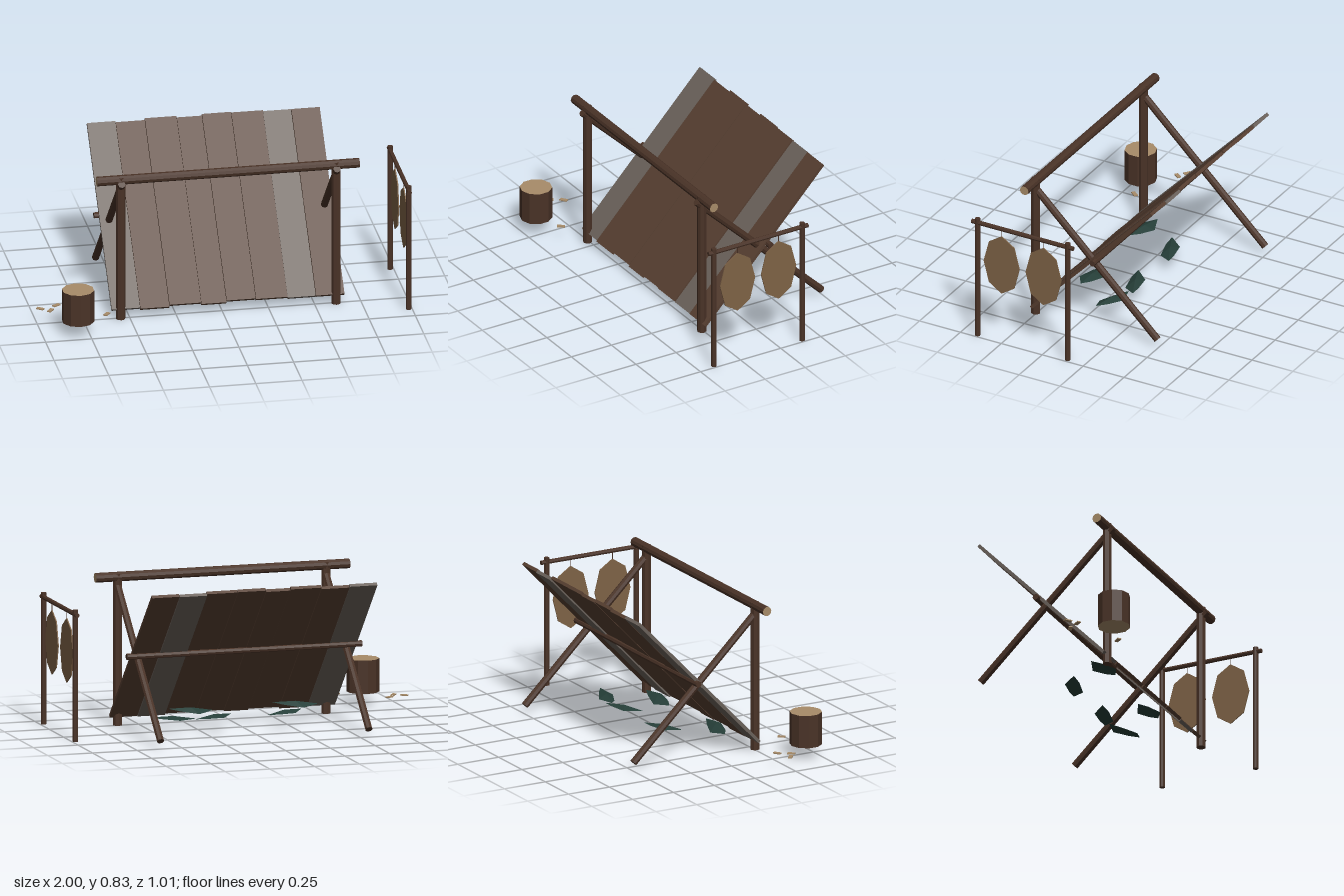
import * as THREE from 'three';

const mat = (name, color, extra = {}) => {
  const m = new THREE.MeshStandardMaterial({ color, flatShading: true, ...extra });
  m.name = name;
  return m;
};

export function createModel() {
  const group = new THREE.Group();
  const bark = mat('bark', 0x4a3327);
  const plankBrown = mat('plank brown', 0x573f31);
  const plankGrey = mat('weathered grey', 0x6b625b);
  const cutWood = mat('cut wood', 0xa88c69);
  const hide = mat('hide', 0x7f6346, { side: THREE.DoubleSide });
  const leafGreen = mat('dark leaf', 0x263f39, { side: THREE.DoubleSide });

  const add = (name, geo, material, x = 0, y = 0, z = 0) => {
    const mesh = new THREE.Mesh(geo, material);
    mesh.name = name;
    mesh.position.set(x, y, z);
    group.add(mesh);
    return mesh;
  };

  // Round timber running from point a to point b
  const log = (name, a, b, r, ends = bark, sides = 8) => {
    const from = new THREE.Vector3(...a), to = new THREE.Vector3(...b);
    const dir = to.clone().sub(from);
    const mesh = add(name, new THREE.CylinderGeometry(r, r, dir.length(), sides), [bark, ends, ends]);
    mesh.position.copy(from).add(to).multiplyScalar(0.5);
    mesh.quaternion.setFromUnitVectors(new THREE.Vector3(0, 1, 0), dir.normalize());
    return mesh;
  };

  // Shelter frame: posts, slanting braces, ridge and back rail
  for (const x of [-0.55, 0.615]) {
    log('post', [x, 0, 0.257], [x, 0.82, 0.257], 0.025);
    log('brace', [x, 0.79, 0.29], [x, 0.04, -0.488], 0.02);
  }
  log('ridgeBeam', [-0.68, 0.803, 0.257], [0.74, 0.803, 0.257], 0.026, cutWood, 10);
  log('backRail', [-0.625, 0.44, -0.13], [0.69, 0.44, -0.13], 0.017);

  // Leaning wall of planks with slightly uneven ends
  const edges = [-0.6, -0.445, -0.287, -0.115, 0.022, 0.18, 0.352, 0.505, 0.66];
  const shift = [0, -0.005, 0.004, -0.003, 0.005, 0.003, -0.004, -0.002];
  const slope = Math.atan2(0.74, 0.775);
  shift.forEach((s, i) => {
    const w = edges[i + 1] - edges[i];
    const grey = i === 0 || i === 6;
    const plank = add('plank', new THREE.BoxGeometry(w - 0.002, 1.065, 0.018),
      grey ? plankGrey : plankBrown,
      (edges[i] + edges[i + 1]) / 2, 0.437 + s, -0.11 + (i % 2) * 0.004);
    plank.rotation.x = -slope;
  });

  // Drying rack
  const rackX = 0.981;
  for (const z of [0.405, -0.145]) log('rackPost', [rackX, 0, z], [rackX, 0.712, z], 0.015);
  log('rackBar', [rackX, 0.687, 0.44], [rackX, 0.687, -0.18], 0.0125);

  // Stretched hides hanging from cords
  for (const z of [0.258, 0.002]) {
    const skin = add('hide', new THREE.CylinderGeometry(1, 1, 0.006, 8), hide, rackX, 0.468, z);
    skin.geometry.rotateZ(Math.PI / 2);
    skin.geometry.scale(1, 0.174, 0.109);
    log('cord', [rackX, 0.635, z], [rackX, 0.687, z], 0.002, bark, 4);
  }

  // Chopping stump and wood chips
  add('stump', new THREE.CylinderGeometry(0.087, 0.087, 0.18, 10), [bark, cutWood, cutWood], -0.81, 0.166, 0.42);
  for (const [x, z, turn] of [[-0.98, 0.23, -0.65], [-0.93, 0.262, 0.95], [-0.888, 0.2, 0.55], [-0.645, 0.365, 0.9]]) {
    add('woodChip', new THREE.BoxGeometry(0.042, 0.006, 0.021), cutWood, x, 0.079, z).rotation.y = turn;
  }

  // Bedding leaves: thin jagged shards folded along the middle
  const outline = [[-0.125, 0.01], [-0.04, -0.045], [0.06, -0.03], [0.125, -0.012], [0.05, 0.045], [-0.06, 0.035]];
  const leafGeometry = () => {
    const pos = [];
    outline.forEach(([x, z], i) => {
      const [x2, z2] = outline[(i + 1) % outline.length];
      pos.push(0, 0.008, 0, x2, -Math.abs(z2) * 0.3, z2, x, -Math.abs(z) * 0.3, z);
    });
    const geo = new THREE.BufferGeometry();
    geo.setAttribute('position', new THREE.Float32BufferAttribute(pos, 3));
    geo.computeVertexNormals();
    return geo;
  };
  const leaves = [
    [0.42, -0.1, -0.35, 0.06], [0.2, -0.117, 0.3, -0.05], [0.25, 0.118, -0.1, 0.08],
    [-0.2, -0.104, 0.35, -0.06], [-0.34, 0.135, -0.2, 0.05],
  ];
  for (const [x, z, turn, tilt] of leaves) {
    add('leaf', leafGeometry(), leafGreen, x, 0.092, z).rotation.set(z > 0 ? -0.15 : 0.1, turn, tilt);
  }

  return group;
}
